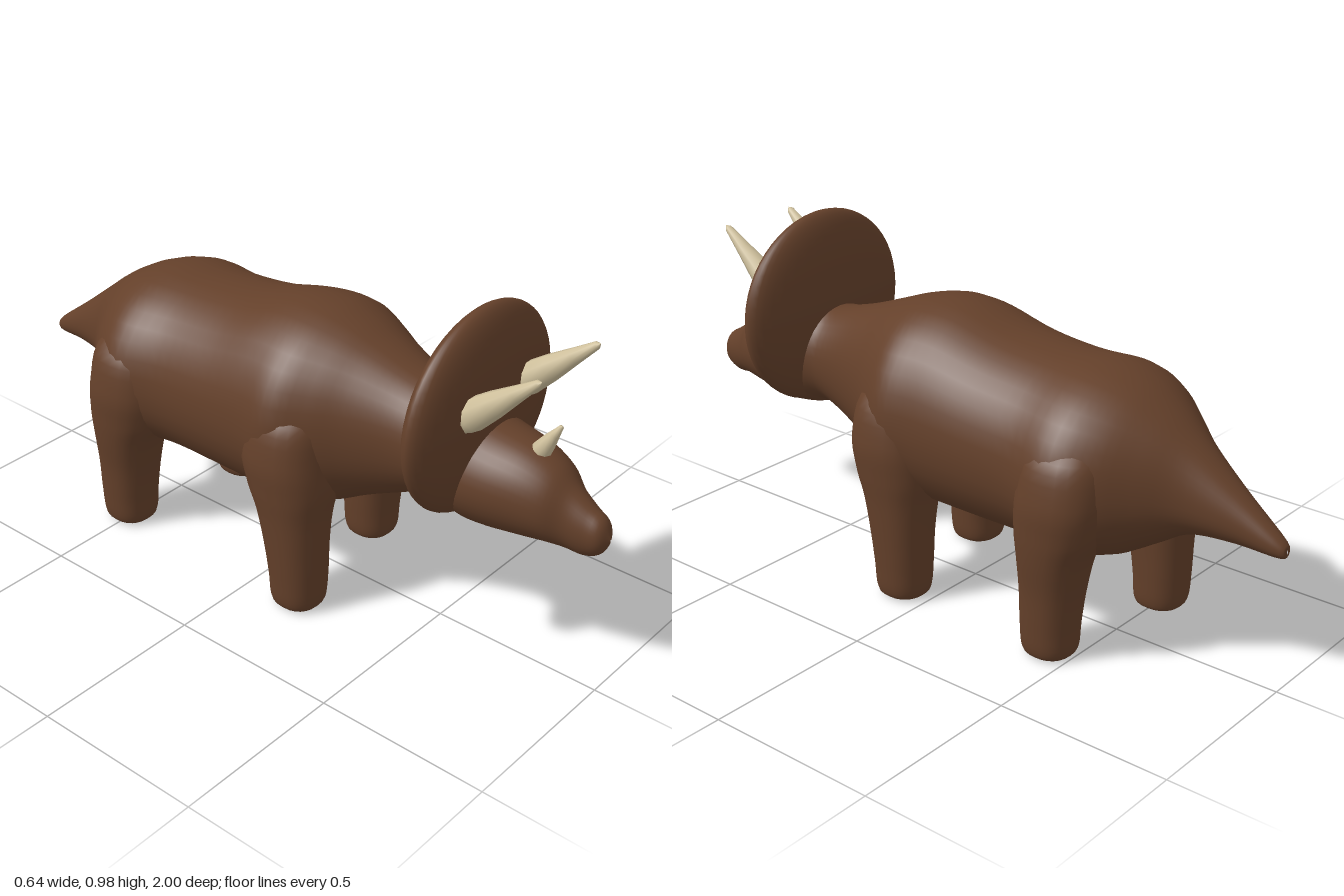
import * as THREE from 'three';

const hide = new THREE.MeshStandardMaterial({ color: 0x64402a });
const ivory = new THREE.MeshStandardMaterial({ color: 0xcfc09c });

function part(name, geometry, material = hide) {
  const mesh = new THREE.Mesh(geometry, material);
  mesh.name = name;
  return mesh;
}

// Smooth curve through each row of numbers: returns t -> interpolated row
function rowSpline(rows) {
  const pick = (i) => new THREE.CatmullRomCurve3(
    rows.map((r) => new THREE.Vector3(r[i], r[i + 1] ?? 0, r[i + 2] ?? 0)), false, 'catmullrom', 0.5);
  const a = pick(0), b = pick(3);
  return (t) => [...a.getPoint(t).toArray(), ...b.getPoint(t).toArray()];
}

// Skin of closed rings; point(angle, t) gives a position
function skin(point, around, along) {
  const pos = [], index = [];
  for (let j = 0; j <= along; j++) {
    for (let i = 0; i < around; i++) pos.push(...point((i / around) * Math.PI * 2, j / along));
  }
  for (let j = 0; j < along; j++) {
    for (let i = 0; i < around; i++) {
      const k = (i + 1) % around;
      const a = j * around + i, b = j * around + k, c = b + around, d = a + around;
      index.push(a, b, c, a, c, d);
    }
  }
  const g = new THREE.BufferGeometry();
  g.setAttribute('position', new THREE.Float32BufferAttribute(pos, 3));
  g.setIndex(index);
  g.computeVertexNormals();
  return g;
}

const sq = (v, p) => Math.sign(v) * Math.abs(v) ** p;

// Rows along z: z, top, bottom, half width, height of widest point
function trunk(rows, power) {
  const at = rowSpline(rows);
  return skin((a, t) => {
    const [z, top, bottom, w, mid] = at(t);
    const s = sq(Math.sin(a), power);
    return [w * sq(Math.cos(a), power), mid + s * (s > 0 ? top - mid : mid - bottom), z];
  }, 36, rows.length * 4);
}

// Rows going up: y, centre x, half x, half z, centre z
function leg(side, rows) {
  const at = rowSpline(rows);
  return skin((a, t) => {
    const [y, x, hx, hz, z] = at(t);
    return [side * x + hx * sq(Math.cos(a), 0.85), y, z - hz * sq(Math.sin(a), 0.85)];
  }, 24, rows.length * 4);
}

// Tapered horn from base to tip
function horn(name, base, tip, radius) {
  const dir = tip.clone().sub(base), len = dir.length();
  const profile = [[0, 0], [0.9, 0], [1, 0.14], [0.8, 0.42], [0.5, 0.7], [0.24, 0.96], [0, 1]]
    .map(([r, h]) => new THREE.Vector2(r * radius, h * len));
  const mesh = part(name, new THREE.LatheGeometry(profile, 9), ivory);
  mesh.position.copy(base);
  mesh.quaternion.setFromUnitVectors(new THREE.Vector3(0, 1, 0), dir.normalize());
  return mesh;
}

export function createModel() {
  const model = new THREE.Group();
  model.name = 'hornedDinosaur';

  // Body from tail tip to neck
  model.add(part('bodyAndTail', trunk([
    [-1.0, 0.405, 0.395, 0.002, 0.40],
    [-0.985, 0.43, 0.38, 0.025, 0.405],
    [-0.86, 0.525, 0.385, 0.06, 0.45],
    [-0.74, 0.62, 0.375, 0.108, 0.48],
    [-0.65, 0.69, 0.325, 0.18, 0.49],
    [-0.56, 0.74, 0.275, 0.26, 0.49],
    [-0.46, 0.765, 0.255, 0.305, 0.49],
    [-0.32, 0.768, 0.25, 0.277, 0.50],
    [-0.16, 0.785, 0.247, 0.277, 0.51],
    [0.0, 0.825, 0.25, 0.287, 0.52],
    [0.11, 0.828, 0.258, 0.297, 0.52],
    [0.2, 0.808, 0.28, 0.25, 0.53],
    [0.29, 0.775, 0.325, 0.195, 0.55],
    [0.4, 0.735, 0.375, 0.152, 0.56],
    [0.5, 0.71, 0.42, 0.137, 0.56],
    [0.58, 0.71, 0.42, 0.145, 0.56],
    [0.6, 0.57, 0.55, 0.002, 0.56],
  ], 0.95)));

  // Head and beak
  model.add(part('head', trunk([
    [0.49, 0.55, 0.53, 0.002, 0.54],
    [0.52, 0.66, 0.425, 0.12, 0.54],
    [0.6, 0.685, 0.395, 0.147, 0.535],
    [0.68, 0.672, 0.393, 0.142, 0.53],
    [0.77, 0.655, 0.402, 0.122, 0.525],
    [0.84, 0.625, 0.41, 0.098, 0.51],
    [0.89, 0.58, 0.408, 0.066, 0.49],
    [0.94, 0.545, 0.405, 0.05, 0.475],
    [0.98, 0.52, 0.425, 0.036, 0.47],
    [1.0, 0.475, 0.465, 0.002, 0.47],
  ], 1)));

  // Neck frill
  const frill = part('frill', new THREE.SphereGeometry(1, 40, 28));
  frill.scale.set(0.306, 0.284, 0.074);
  frill.position.set(0, 0.697, 0.585);
  model.add(frill);

  // Legs: the two sides are at different points of the stride
  const strides = [
    { side: 1, name: 'left', front: 0.09, back: -0.43 },
    { side: -1, name: 'right', front: 0.16, back: -0.505 },
  ];
  for (const { side, name, front, back } of strides) {
    for (const [end, foot, top, out] of [['Front', front, 0.115, 0], ['Back', back, -0.465, 0.008]]) {
      const z = (k) => foot + (top - foot) * k;
      model.add(part(`${name}${end}Leg`, leg(side, [
        [0, 0.205, 0.002, 0.002, z(0)],
        [0.002, 0.205, 0.055, 0.055, z(0)],
        [0.025, 0.206, 0.073, 0.073, z(0)],
        [0.1, 0.206, 0.08, 0.078, z(0)],
        [0.2, 0.206, 0.087, 0.086, z(0.15)],
        [0.3, 0.2 + out, 0.1, 0.1, z(0.4)],
        [0.38, 0.19 + out, 0.118, 0.122, z(0.7)],
        [0.48, 0.18 + out, 0.13, 0.13, z(1)],
        [0.6, 0.15 + out, 0.12, 0.11, z(1)],
        [0.68, 0.12, 0.002, 0.002, z(1)],
      ])));
    }
    // Brow horn
    model.add(horn(`${name}BrowHorn`,
      new THREE.Vector3(side * 0.12, 0.725, 0.62), new THREE.Vector3(side * 0.127, 0.917, 0.846), 0.044));
  }

  // Nose horn
  model.add(horn('noseHorn', new THREE.Vector3(0, 0.635, 0.775), new THREE.Vector3(0, 0.736, 0.835), 0.027));

  return model;
}
